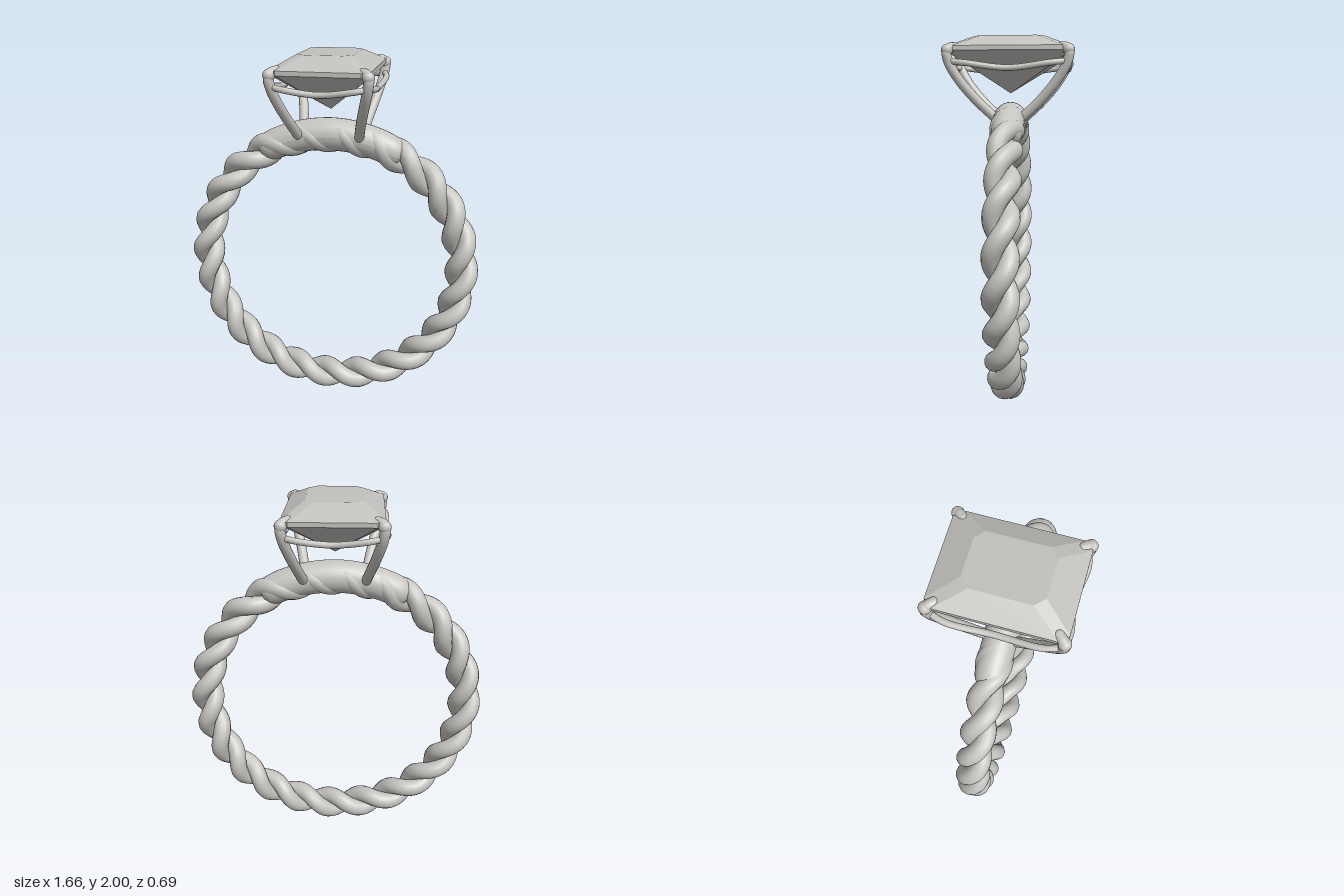
import * as THREE from 'three';
import { ConvexGeometry } from 'three/addons/geometries/ConvexGeometry.js';

const CENTRE_Y = 0.828;
const RING_R = 0.736;

const v = (x, y, z) => new THREE.Vector3(x, y, z);

// Curve defined by a function of t in 0..1
class PathCurve extends THREE.Curve {
  constructor(fn) { super(); this.fn = fn; }
  getPoint(t, target = new THREE.Vector3()) { return target.copy(this.fn(t)); }
}

export function createModel() {
  const model = new THREE.Group();
  model.name = 'ring';
  const metal = new THREE.MeshStandardMaterial({ color: 0xc6c4c0 });
  metal.name = 'pale metal';
  const stone = new THREE.MeshStandardMaterial({ color: 0xc2c0bd });
  stone.name = 'pale stone';

  const add = (parent, name, geometry, material = metal) => {
    const mesh = new THREE.Mesh(geometry, material);
    mesh.name = name;
    parent.add(mesh);
    return mesh;
  };

  // Twisted band: two strands wound around a circle, 12 turns each
  const band = new THREE.Group();
  band.name = 'twistedBand';
  model.add(band);
  const TURNS = 12, OFFSET = 0.042, STRAND_R = 0.05;
  for (const phase of [0, Math.PI]) {
    const strand = new PathCurve((t) => {
      const a = t * Math.PI * 2;
      const twist = TURNS * a + phase;
      const r = RING_R + OFFSET * Math.cos(twist);
      return v(Math.sin(a) * r, CENTRE_Y - Math.cos(a) * r, -OFFSET * Math.sin(twist));
    });
    add(band, 'strand', new THREE.TubeGeometry(strand, 480, STRAND_R, 14, true));
  }

  // Smooth shoulder: thick arc over the top, narrowing to closed ends
  const HALF = 0.56, SEGS = 48, SIDES = 28;
  const arcPoint = (t) => {
    const a = (t * 2 - 1) * HALF;
    return v(Math.sin(a) * 0.742, CENTRE_Y + Math.cos(a) * 0.742, 0);
  };
  const shoulder = new THREE.TubeGeometry(new PathCurve(arcPoint), SEGS, 1, SIDES);
  const pos = shoulder.attributes.position;
  const p = new THREE.Vector3();
  for (let i = 0; i <= SEGS; i++) {
    const t = i / SEGS, centre = arcPoint(t);
    const end = Math.abs(t * 2 - 1);
    const radius = (0.088 - 0.006 * end) * Math.sqrt(Math.max(0, 1 - Math.pow(end, 14)));
    for (let j = 0; j <= SIDES; j++) {
      const k = i * (SIDES + 1) + j;
      p.fromBufferAttribute(pos, k).sub(centre).multiplyScalar(radius).add(centre);
      pos.setXYZ(k, p.x, p.y, p.z);
    }
  }
  shoulder.computeVertexNormals();
  add(model, 'smoothShoulder', shoulder);

  // Four claws rising from the shoulder and hooking over the stone corners
  const setting = new THREE.Group();
  setting.name = 'setting';
  model.add(setting);
  for (const sx of [-1, 1]) {
    for (const sz of [-1, 1]) {
      const pts = [
        [0.165, 1.575, 0.075], [0.187, 1.66, 0.165], [0.215, 1.76, 0.25],
        [0.238, 1.85, 0.303], [0.245, 1.905, 0.314], [0.235, 1.927, 0.302], [0.213, 1.932, 0.277],
      ].map(([x, y, z]) => v(x * sx, y, z * sz));
      const claw = new THREE.Group();
      claw.name = 'claw';
      setting.add(claw);
      add(claw, 'clawWire', new THREE.TubeGeometry(new THREE.CatmullRomCurve3(pts), 40, 0.026, 14));
      for (const end of [pts[0], pts[6]]) {
        add(claw, 'clawEnd', new THREE.SphereGeometry(0.026, 14, 10)).position.copy(end);
      }
      add(claw, 'clawKnuckle', new THREE.SphereGeometry(0.031, 16, 12)).position.set(0.243 * sx, 1.916, 0.312 * sz);
    }
  }

  // Sagging rails joining neighbouring claws under the stone
  const rail = (points) => add(setting, 'galleryRail',
    new THREE.TubeGeometry(new THREE.CatmullRomCurve3(points), 40, 0.016, 10));
  for (const s of [-1, 1]) {
    rail([[-0.24, 1.86, 0.306], [-0.17, 1.848, 0.322], [0, 1.825, 0.3], [0.17, 1.848, 0.322], [0.24, 1.86, 0.306]]
      .map(([x, y, z]) => v(x, y, z * s)));
    rail([[0.24, 1.86, -0.306], [0.262, 1.85, -0.22], [0.25, 1.825, 0], [0.262, 1.85, 0.22], [0.24, 1.86, 0.306]]
      .map(([x, y, z]) => v(x * s, y, z)));
  }

  // Faceted stone: table, crown, thin girdle and pointed base
  const level = (x, z, cut, y) => [-1, 1].flatMap((sx) => [-1, 1].flatMap((sz) => [
    v(sx * (x - cut), y, sz * z), v(sx * x, y, sz * (z - cut)),
  ]));
  add(model, 'stone', new ConvexGeometry([
    ...level(0.143, 0.19, 0.045, 2.0),
    ...level(0.25, 0.325, 0.04, 1.938),
    ...level(0.25, 0.325, 0.04, 1.915),
    v(0, 1.705, 0),
  ]), stone);

  return model;
}
